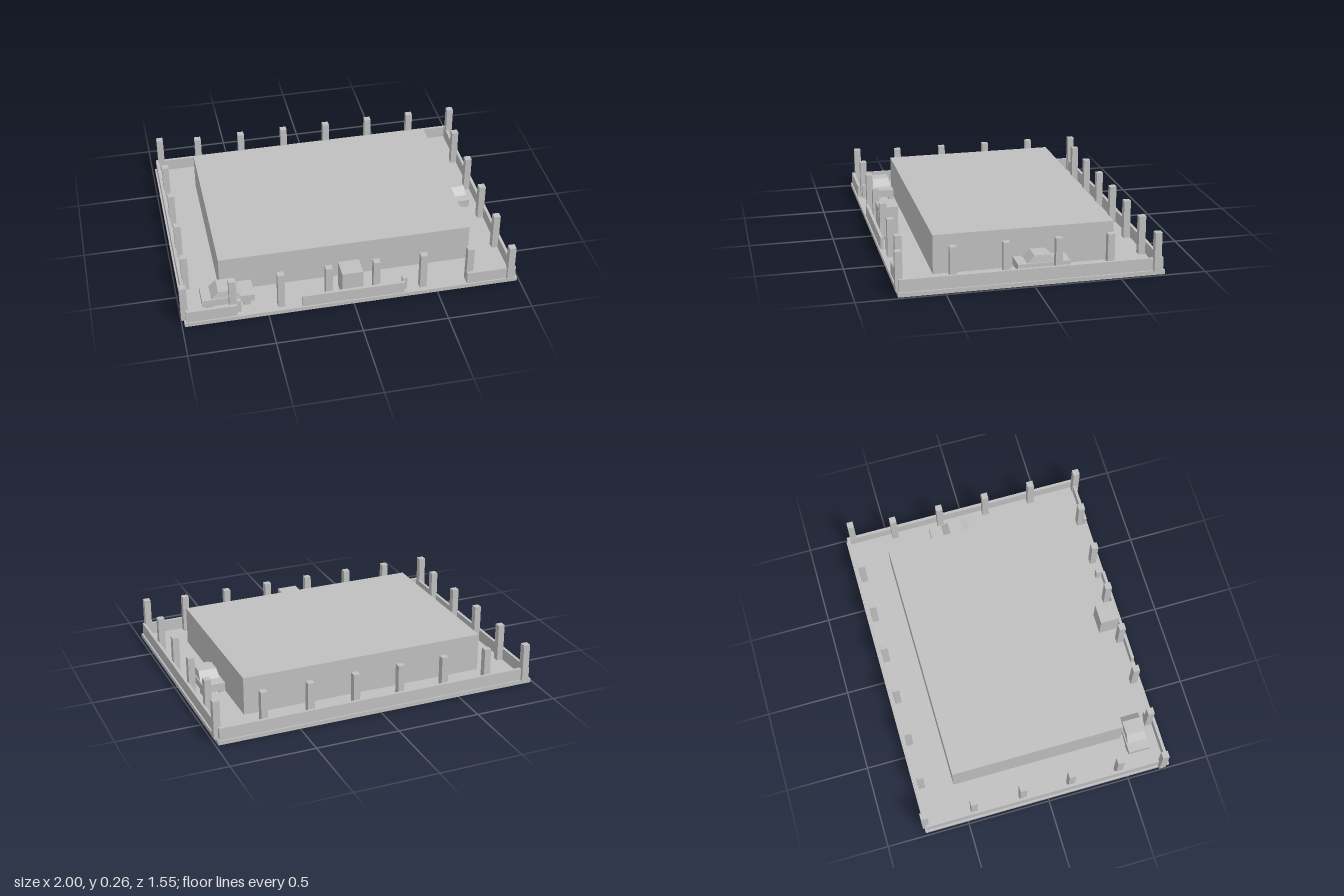
import * as THREE from 'three';

const grey = new THREE.MeshStandardMaterial({ color: 0xbfbfbf });
grey.name = 'concrete grey';

// Box given by its extents on each axis
function block(parent, name, [x0, x1], [y0, y1], [z0, z1]) {
  const mesh = new THREE.Mesh(new THREE.BoxGeometry(x1 - x0, y1 - y0, z1 - z0), grey);
  mesh.position.set((x0 + x1) / 2, (y0 + y1) / 2, (z0 + z1) / 2);
  mesh.name = name;
  parent.add(mesh);
  return mesh;
}

// Car facing +x, origin on the ground under its middle
function makeCar(name) {
  const car = new THREE.Group();
  car.name = name;
  block(car, 'carBody', [-0.152, 0.152], [0.025, 0.07], [-0.067, 0.067]);
  for (const x of [-0.107, 0.107])
    for (const z of [-0.052, 0.052])
      block(car, 'wheel', [x - 0.022, x + 0.022], [0, 0.025], [z - 0.015, z + 0.015]);

  // Cabin: a box whose top edge is drawn in to slope the windscreens
  const cabin = block(car, 'cabin', [-0.098, 0.074], [0.07, 0.113], [-0.06, 0.06]);
  const p = cabin.geometry.attributes.position;
  for (let i = 0; i < p.count; i++)
    if (p.getY(i) > 0) p.setXYZ(i, Math.sign(p.getX(i)) * 0.044, p.getY(i), Math.sign(p.getZ(i)) * 0.055);
  cabin.geometry.computeVertexNormals();
  return car;
}

export function createModel() {
  const model = new THREE.Group();
  model.name = 'walledCompound';
  const ground = 0.025, wallTop = 0.098, postTop = 0.257;

  block(model, 'groundSlab', [-0.985, 0.985], [0, ground], [-0.763, 0.763]);
  block(model, 'mainBuilding', [-0.75, 0.75], [ground, postTop], [-0.527, 0.527]);

  // Perimeter walls, with two gateways at the front
  const wallY = [ground, wallTop];
  block(model, 'backWall', [-0.975, 0.975], wallY, [-0.755, -0.737]);
  block(model, 'rightWall', [-0.975, -0.957], wallY, [-0.755, 0.755]);
  block(model, 'leftWall', [0.957, 0.975], wallY, [-0.755, 0.755]);
  for (const span of [[-0.975, -0.68], [-0.303, 0.303], [0.68, 0.975]])
    block(model, 'frontWall', span, wallY, [0.737, 0.755]);

  // Tall posts along each side, and the corner ones
  const post = (x, z) =>
    block(model, 'post', [x - 0.02, x + 0.02], [ground, postTop], [z - 0.02, z + 0.02]);
  for (const side of [-1, 1]) {
    for (const x of [-0.7, -0.42, -0.14, 0.14, 0.42, 0.7]) post(x, side * 0.714);
    for (const z of [-0.45, -0.15, 0.15, 0.45]) post(side * 0.94, z);
    post(side * 0.98, -side * 0.714);
    post(side * 0.94, side * 0.753);
  }

  // Gate control boxes and guard booth
  for (const x of [-0.667, 0.31])
    block(model, 'gateBox', [x - 0.014, x + 0.014], [ground, 0.107], [0.7, 0.728]);
  block(model, 'guardBooth', [-0.063, 0.061], [ground, 0.198], [0.61, 0.727]);

  // Parked cars
  const frontCar = makeCar('frontCar');
  frontCar.position.set(-0.718, ground, 0.607);
  const sideCar = makeCar('sideCar');
  sideCar.position.set(0.828, ground, -0.082);
  sideCar.rotation.y = Math.PI / 2;
  model.add(frontCar, sideCar);

  return model;
}
